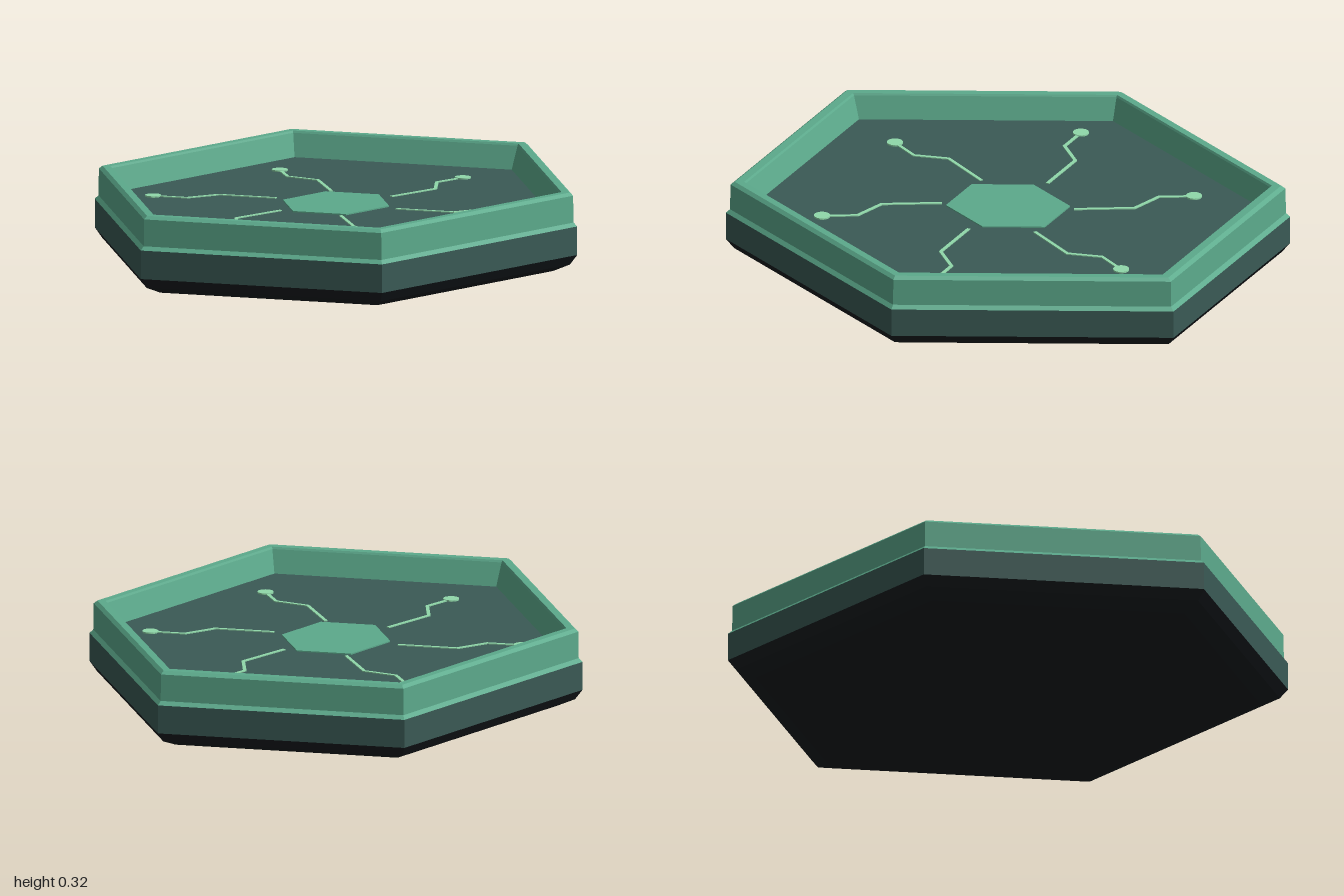
import * as THREE from 'three';

const DEPTH = 2 / Math.sqrt(3); // stretches the hexagon so it is as deep as it is wide

const paint = (color) => new THREE.MeshStandardMaterial({ color, flatShading: true });

// Six-sided turned part from [radius, height] pairs, corners on the x axis
function hexPart(name, profile, material) {
  const points = profile.map(([r, y]) => new THREE.Vector2(r, y));
  const geometry = new THREE.LatheGeometry(points, 6, Math.PI / 2).scale(1, 1, DEPTH).toNonIndexed();
  geometry.computeVertexNormals();
  const mesh = new THREE.Mesh(geometry, material);
  mesh.name = name;
  return mesh;
}

// Flat strip of constant width along a path, with mitred bends
function stripShape(path, width) {
  const left = [], right = [];
  path.forEach((p, i) => {
    const before = p.clone().sub(path[Math.max(i - 1, 0)]).normalize();
    const after = path[Math.min(i + 1, path.length - 1)].clone().sub(p).normalize();
    const along = before.clone().add(after).normalize();
    const ref = i === 0 ? after : before;
    const half = width / 2 / along.dot(ref);
    const side = new THREE.Vector2(-along.y, along.x).multiplyScalar(half);
    left.push(p.clone().add(side));
    right.push(p.clone().sub(side));
  });
  return new THREE.Shape([...right, ...left.reverse()]);
}

export function createModel() {
  const model = new THREE.Group();
  model.name = 'hexTile';
  const green = paint(0x5caa8c);
  const slate = paint(0x3a5a55);
  const black = paint(0x171c1f);
  const mint = paint(0x90d8aa);

  // Shell: rounded underside, side band, raised rim and sunken floor
  model.add(
    hexPart('underside', [[0, 0], [0.9, 0], [0.97, 0.03], [1, 0.07]], black),
    hexPart('sideBand', [[1, 0.07], [1, 0.185]], slate),
    hexPart('rim', [[1, 0.185], [0.985, 0.2], [0.983, 0.308], [0.968, 0.32], [0.935, 0.32], [0.93, 0.312], [0.9, 0.22]], green),
    hexPart('floor', [[0.9, 0.22], [0, 0.22]], slate),
    hexPart('centrePlate', [[0.22, 0.22], [0.22, 0.225], [0, 0.225]], green)
  );

  // Six circuit traces, each ending in a round pad
  const path = [[0.26, -0.04], [0.5, -0.04], [0.6, 0.06], [0.74, 0.06]].map(([x, y]) => new THREE.Vector2(x, y));
  const traceGeometry = new THREE.ExtrudeGeometry(stripShape(path, 0.014), { depth: 0.004, bevelEnabled: false });
  traceGeometry.rotateX(-Math.PI / 2);
  const padGeometry = new THREE.CylinderGeometry(0.032, 0.032, 0.006, 24);
  for (let i = 0; i < 6; i++) {
    const circuit = new THREE.Group();
    circuit.name = `circuit${i + 1}`;
    const trace = new THREE.Mesh(traceGeometry, mint);
    trace.name = 'trace';
    const pad = new THREE.Mesh(padGeometry, mint);
    pad.name = 'pad';
    pad.position.set(0.74, 0.003, -0.06);
    circuit.add(trace, pad);
    circuit.position.y = 0.22;
    circuit.rotation.y = (i * Math.PI) / 3;
    model.add(circuit);
  }
  return model;
}
